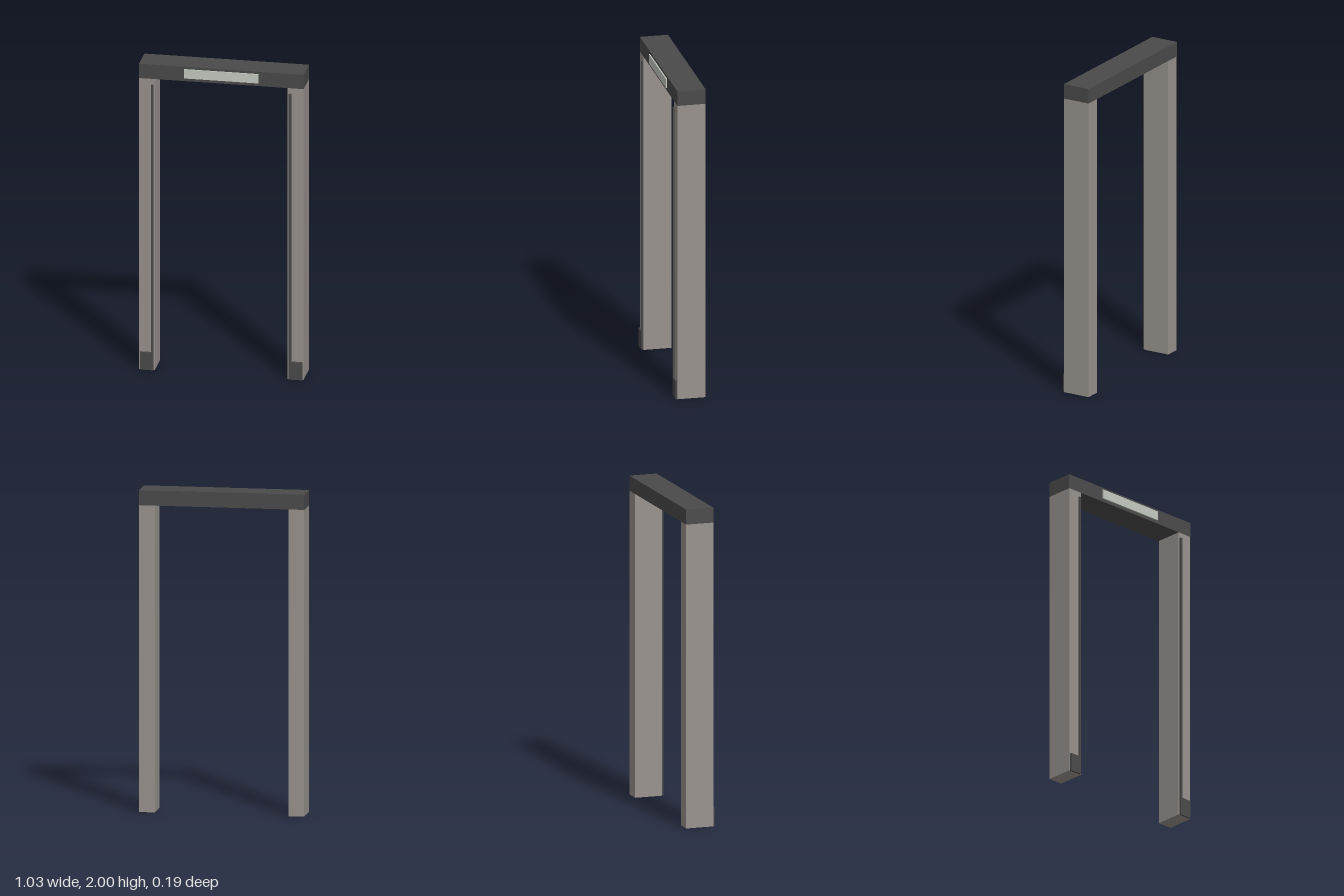
import * as THREE from 'three';

export function createModel() {
  const group = new THREE.Group();
  group.name = 'walkThroughGate';

  const material = (name, color) => {
    const m = new THREE.MeshStandardMaterial({ color });
    m.name = name;
    return m;
  };
  const stone = material('warmGrey', 0x98928d);
  const dark = material('charcoal', 0x4a4a4a);
  const pale = material('paleGreenGrey', 0xc4cac1);

  // Box given by its lower and upper corners
  const addBox = (name, mat, [x0, y0, z0], [x1, y1, z1]) => {
    const mesh = new THREE.Mesh(new THREE.BoxGeometry(x1 - x0, y1 - y0, z1 - z0), mat);
    mesh.position.set((x0 + x1) / 2, (y0 + y1) / 2, (z0 + z1) / 2);
    mesh.name = name;
    group.add(mesh);
  };

  const back = -0.094, front = 0.083, trimFront = 0.094, lintelBase = 1.906;

  // Lintel with its display panel
  addBox('lintel', dark, [-0.513, lintelBase, back], [0.513, 2, front]);
  addBox('displayPanel', pale, [-0.232, 1.926, front], [0.232, 1.985, 0.091]);

  // Posts, each with a foot plate and a slim strip along the inner edge
  for (const [side, s] of [['left', 1], ['right', -1]]) {
    const addMirrored = (part, mat, x0, y0, z0, x1, y1, z1) =>
      addBox(side + part, mat,
        [Math.min(s * x0, s * x1), y0, z0], [Math.max(s * x0, s * x1), y1, z1]);
    addMirrored('Post', stone, 0.414, 0, back + 0.001, 0.512, lintelBase, front);
    addMirrored('FootPlate', dark, 0.422, 0, front, 0.506, 0.116, trimFront);
    addMirrored('EdgeStrip', dark, 0.422, 0.116, front, 0.436, 1.87, trimFront);
  }

  return group;
}
